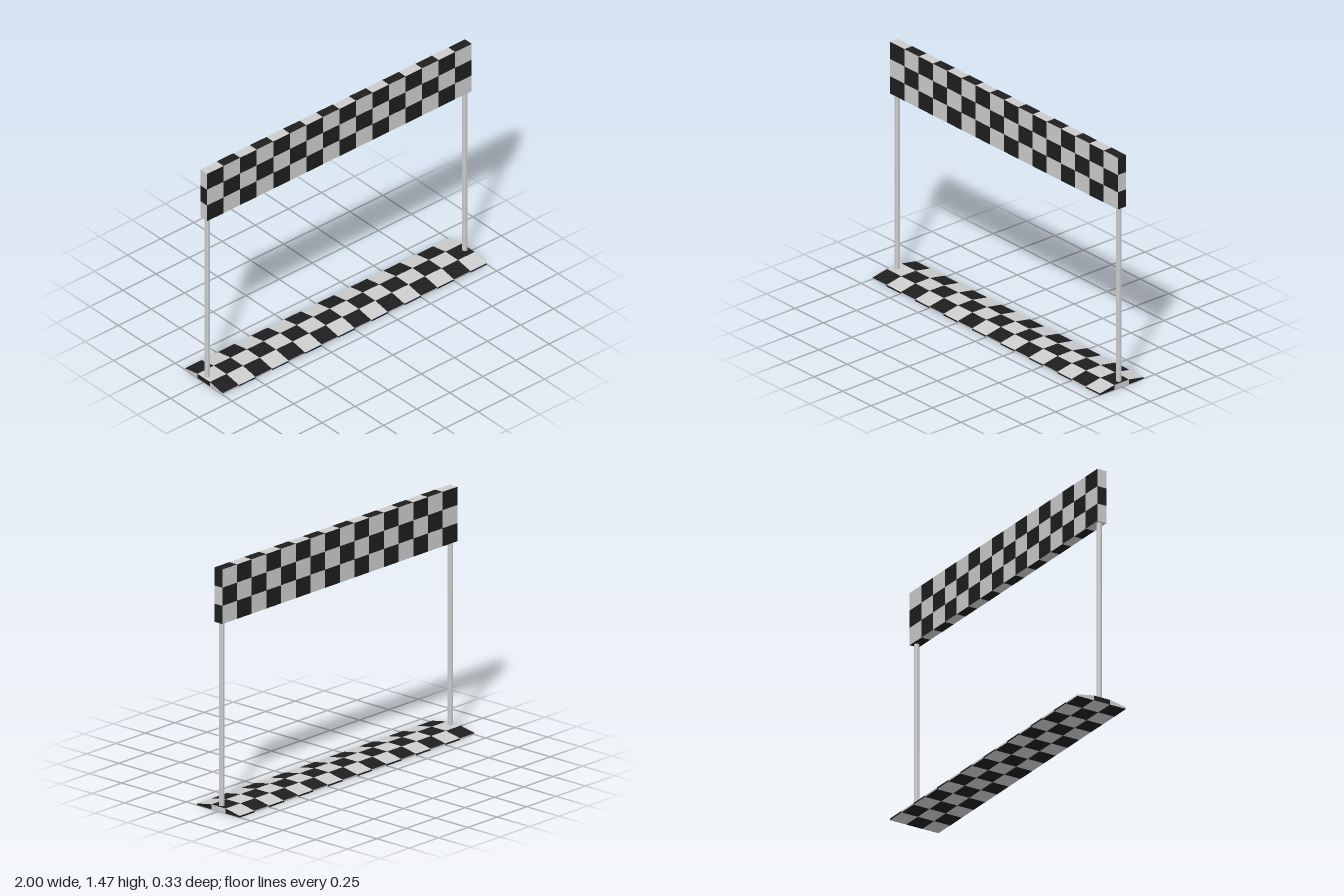
import * as THREE from 'three';

const COLUMNS = 16, ROWS = 3;

const light = new THREE.MeshStandardMaterial({ color: 0xcccccc });
const dark = new THREE.MeshStandardMaterial({ color: 0x1e1e1e });

// Chequered bar along x. `a` and `b` list the [y, z] corners of its two
// broad sides, row by row; colours alternate across every edge.
function chequeredBar(name, a, b) {
  const cells = [[], []];
  const quad = (i, j, ...p) => {
    const [p0, p1, p2, p3] = p.map(([x, [y, z]]) => [x, y, z]);
    cells[Math.abs(i + j) % 2].push(...p0, ...p1, ...p2, ...p0, ...p2, ...p3);
  };
  for (let i = 0; i < COLUMNS; i++) {
    const l = -1 + (2 * i) / COLUMNS, r = -1 + (2 * (i + 1)) / COLUMNS;
    for (let j = 0; j < ROWS; j++) {
      quad(i, j, [l, a[j]], [r, a[j]], [r, a[j + 1]], [l, a[j + 1]]);
      quad(i, j, [r, b[j]], [l, b[j]], [l, b[j + 1]], [r, b[j + 1]]);
    }
    // narrow long edges
    quad(i, -1, [l, b[0]], [r, b[0]], [r, a[0]], [l, a[0]]);
    quad(i, ROWS, [l, a[ROWS]], [r, a[ROWS]], [r, b[ROWS]], [l, b[ROWS]]);
  }
  // end faces
  for (let j = 0; j < ROWS; j++) {
    quad(-1, j, [-1, b[j]], [-1, a[j]], [-1, a[j + 1]], [-1, b[j + 1]]);
    quad(COLUMNS, j, [1, a[j]], [1, b[j]], [1, b[j + 1]], [1, a[j + 1]]);
  }
  const group = new THREE.Group();
  group.name = name;
  [dark, light].forEach((material, k) => {
    const geometry = new THREE.BufferGeometry();
    geometry.setAttribute('position', new THREE.Float32BufferAttribute(cells[k], 3));
    geometry.computeVertexNormals();
    const mesh = new THREE.Mesh(geometry, material);
    mesh.name = name + (k ? 'LightSquares' : 'DarkSquares');
    group.add(mesh);
  });
  return group;
}

export function createModel() {
  const model = new THREE.Group();
  model.name = 'finishGate';

  // Banner overhead
  const heights = [1.14, 1.25, 1.36, 1.47];
  model.add(chequeredBar('banner', heights.map(y => [y, 0.03]), heights.map(y => [y, -0.03])));

  // Ramped strip on the ground
  const depths = [0.165, 0.055, -0.055, -0.165];
  const tops = [0.01, 0.03, 0.03, 0.01];
  model.add(chequeredBar('groundStrip', depths.map((z, j) => [tops[j], z]), depths.map(z => [0, z])));

  // Posts
  const postMaterial = new THREE.MeshStandardMaterial({ color: 0xcccccc, flatShading: true });
  for (const side of [-1, 1]) {
    const geometry = new THREE.CylinderGeometry(0.0165, 0.0165, 1.11, 8);
    geometry.rotateY(Math.PI / 8);
    const post = new THREE.Mesh(geometry, postMaterial);
    post.name = side > 0 ? 'leftPost' : 'rightPost';
    post.position.set(side * 0.973, 0.585, 0);
    model.add(post);
  }
  return model;
}
